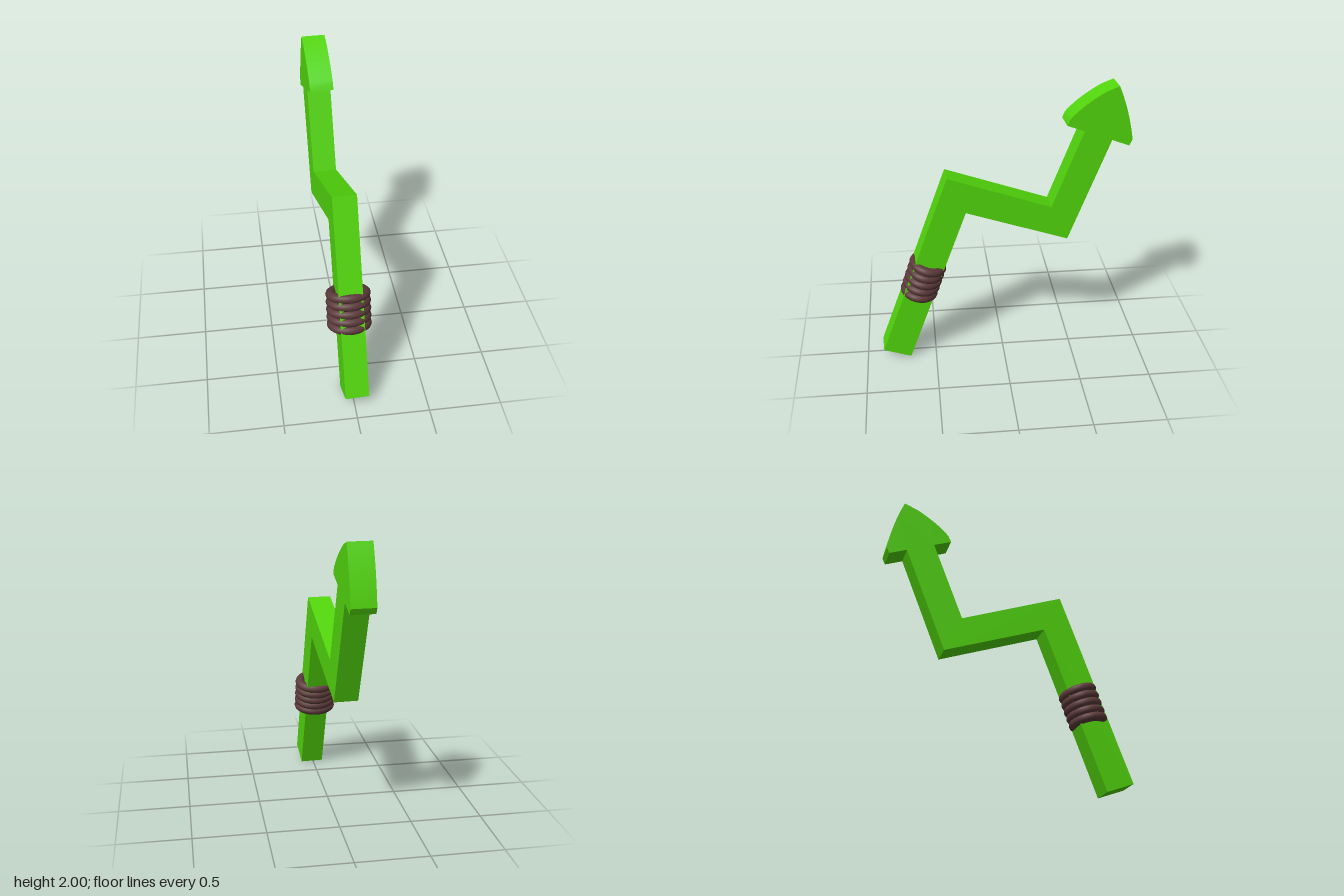
import * as THREE from 'three';
import { toCreasedNormals } from 'three/addons/utils/BufferGeometryUtils.js';

export function createModel() {
  const model = new THREE.Group();
  model.name = 'zigzagArrow';
  const green = new THREE.MeshStandardMaterial({ color: 0x52d60c });
  const brown = new THREE.MeshStandardMaterial({ color: 0x5c3a3a });

  // Flat profile (z, y) extruded across x
  const width = 0.165;
  function addPlate(name, shape) {
    const geometry = new THREE.ExtrudeGeometry(shape, { depth: width, bevelEnabled: false, curveSegments: 10 });
    geometry.translate(0, 0, -width / 2);
    geometry.rotateY(-Math.PI / 2);
    const mesh = new THREE.Mesh(toCreasedNormals(geometry, 0.4), green);
    mesh.name = name;
    arrow.add(mesh);
  }

  // The whole arrow is turned slightly about the vertical
  const arrow = new THREE.Group();
  arrow.name = 'arrow';
  arrow.rotation.y = 0.049;
  arrow.position.x = -0.025;
  model.add(arrow);

  // Zigzag shaft joined to the arrowhead in one outline
  const outline = new THREE.Shape();
  outline.moveTo(0.885, 0.072);
  outline.lineTo(0.69, 0);
  outline.lineTo(0.265, 1.145);
  outline.lineTo(-0.455, 0.887);
  outline.lineTo(-0.743, 1.62);
  // Head: back barb, curved flanks, front barb
  outline.lineTo(-0.865, 1.573);
  outline.lineTo(-0.886, 1.615);
  outline.quadraticCurveTo(-0.854, 1.82, -0.775, 2);
  outline.lineTo(-0.685, 1.965);
  outline.quadraticCurveTo(-0.53, 1.88, -0.447, 1.785);
  outline.lineTo(-0.428, 1.742);
  outline.lineTo(-0.55, 1.695);
  outline.lineTo(-0.335, 1.145);
  outline.lineTo(0.39, 1.412);
  outline.closePath();
  addPlate('zigzagShaftAndHead', outline);

  // Cord wrapped round the grip, fanning slightly from top to bottom
  const grip = new THREE.Group();
  grip.name = 'gripWrap';
  model.add(grip);
  const ringGeometry = new THREE.TorusGeometry(0.119, 0.035, 12, 40);
  ringGeometry.rotateX(Math.PI / 2);
  ringGeometry.scale(1, 0.9, 0.87);
  const count = 5;
  for (let i = 0; i < count; i++) {
    const t = i / (count - 1);
    const ring = new THREE.Mesh(ringGeometry, brown);
    ring.name = 'cordRing' + (i + 1);
    ring.position.set(0, THREE.MathUtils.lerp(0.512, 0.718, t), THREE.MathUtils.lerp(0.603, 0.534, t));
    ring.rotation.x = -THREE.MathUtils.lerp(0.2, 0.3, t);
    grip.add(ring);
  }
  return model;
}
